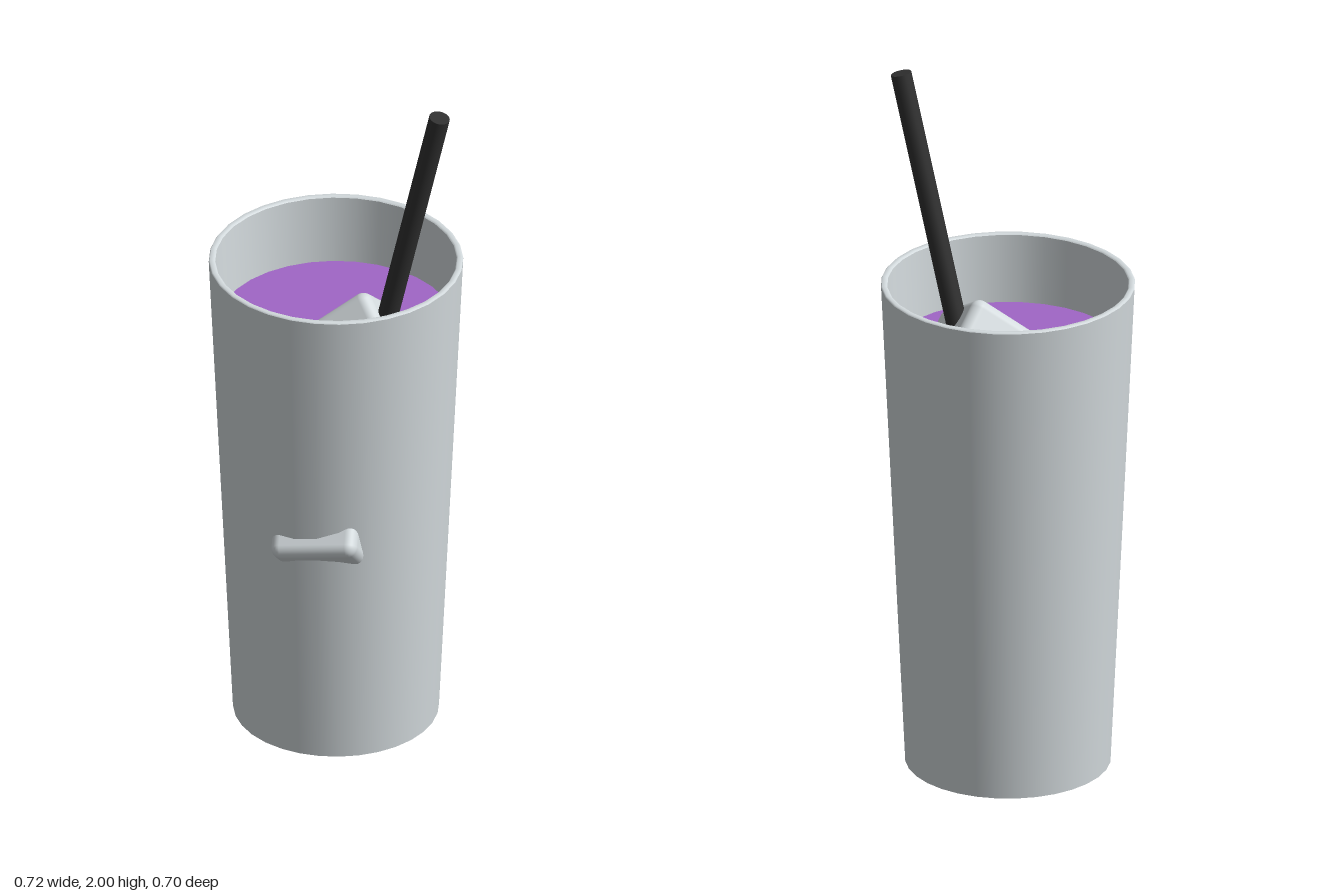
import * as THREE from 'three';
import { RoundedBoxGeometry } from 'three/addons/geometries/RoundedBoxGeometry.js';

const mat = (name, color) => {
  const m = new THREE.MeshStandardMaterial({ color });
  m.name = name;
  return m;
};
const V = (x, y, z) => new THREE.Vector3(x, y, z);

const CUP_X = -0.007;
const ICE = 0.25;       // ice cube side
const ICE_ROUND = 0.03; // ice edge radius

export function createModel() {
  const group = new THREE.Group();
  const glass = mat('glass', 0xd3dadd);
  const drink = mat('purpleDrink', 0xa066c6);
  const black = mat('blackStraw', 0x303030);

  const add = (name, geometry, material, parent = group) => {
    const mesh = new THREE.Mesh(geometry, material);
    mesh.name = name;
    parent.add(mesh);
    return mesh;
  };

  // Tapered glass: each smooth run of the profile is its own lathe, so corners stay crisp
  const cup = new THREE.Group();
  cup.name = 'cup';
  cup.position.x = CUP_X;
  group.add(cup);
  const runs = {
    baseRecess: [[0, 0.08], [0.272, 0.08]],
    baseRecessWall: [[0.272, 0.08], [0.272, 0]],
    baseRing: [[0.272, 0], [0.285, 0]],
    outerWall: [[0.285, 0], [0.352, 1.43]],
    rim: [[0.352, 1.43], [0.349, 1.434], [0.338, 1.434], [0.334, 1.43]],
    innerWall: [[0.334, 1.43], [0.268, 0.1]],
    innerFloor: [[0.268, 0.1], [0, 0.1]],
  };
  for (const [name, pts] of Object.entries(runs)) {
    const profile = pts.map(([x, y]) => new THREE.Vector2(x, y));
    add(name, new THREE.LatheGeometry(profile, 32), glass, cup);
  }

  // Drink filling the glass
  const liquid = add('drink', new THREE.CylinderGeometry(0.324, 0.266, 1.125, 32), drink, cup);
  liquid.position.y = 1.2325 - 1.125 / 2;

  // Ice cubes, oriented by two axes and made orthonormal
  const iceGeometry = new RoundedBoxGeometry(ICE, ICE, ICE, 4, ICE_ROUND);
  const addIce = (name, a, b, center) => {
    a.normalize();
    b.addScaledVector(a, -a.dot(b)).normalize();
    const c = a.clone().cross(b);
    const ice = add(name, iceGeometry, glass);
    ice.quaternion.setFromRotationMatrix(new THREE.Matrix4().makeBasis(a, b, c));
    ice.position.copy(center(a, b, c));
  };

  // Floating cube with one corner above the drink
  addIce('floatingIce', V(-0.67, -0.59, 0.45), V(0.72, -0.51, 0.48), (a, b, c) => {
    if (c.y > 0) c = c.clone().negate();
    return V(0.085, 1.375, 0.005).addScaledVector(a.clone().add(b).add(c), ICE / 2);
  });

  // Sunken cube with one edge showing through the front of the glass
  const along = V(0.19, 0.035, -0.055).normalize();
  const out = V(0.28, 0, 0.96);
  out.addScaledVector(along, -along.dot(out)).normalize();
  const side = along.clone().cross(out);
  const inset = ICE * Math.SQRT1_2 - (Math.SQRT2 - 1) * ICE_ROUND;
  addIce('frontIce', along.clone(), out.clone().add(side), () =>
    V(0.113, 0.683, 0.317).addScaledVector(out, -inset));

  // Leaning straw
  const top = V(0.331, 1.993, 0), bottom = V(-0.12, 0.15, 0);
  const lean = top.clone().sub(bottom);
  const straw = add('straw', new THREE.CylinderGeometry(0.029, 0.029, lean.length(), 20), black);
  straw.position.copy(top).add(bottom).multiplyScalar(0.5);
  straw.quaternion.setFromUnitVectors(V(0, 1, 0), lean.normalize());

  return group;
}
